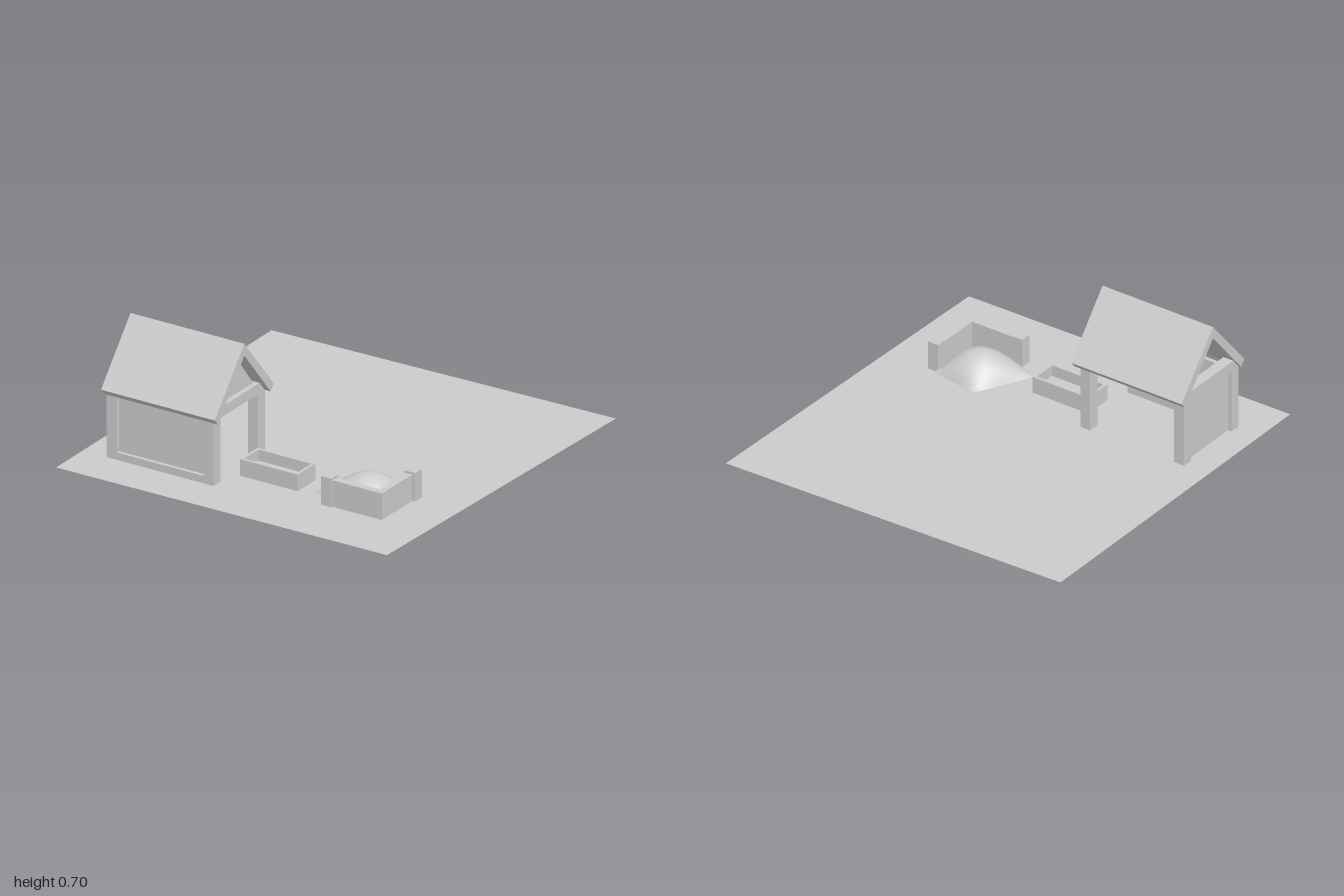
import * as THREE from 'three';

const grey = new THREE.MeshStandardMaterial({ color: 0xcccccc });
const greyDouble = new THREE.MeshStandardMaterial({ color: 0xcccccc, side: THREE.DoubleSide });
const BASE = 0.01;

function add(parent, name, geometry, material = grey) {
  const mesh = new THREE.Mesh(geometry, material);
  mesh.name = name;
  parent.add(mesh);
  return mesh;
}

// Box given by its extents along each axis
function box(parent, name, x0, x1, y0, y1, z0, z1) {
  const mesh = add(parent, name, new THREE.BoxGeometry(x1 - x0, y1 - y0, z1 - z0));
  mesh.position.set((x0 + x1) / 2, (y0 + y1) / 2, (z0 + z1) / 2);
  return mesh;
}

function group(parent, name) {
  const g = new THREE.Group();
  g.name = name;
  parent.add(g);
  return g;
}

// Upward sheet: corners are [x, z] at back left, back right, front left, front right
function sheet(corners, segments, shape) {
  const geometry = new THREE.PlaneGeometry(1, 1, segments, segments).rotateX(-Math.PI / 2);
  const [a, b, c, d] = corners;
  const p = geometry.attributes.position;
  for (let i = 0; i < p.count; i++) {
    const u = p.getX(i) + 0.5, v = p.getZ(i) + 0.5;
    const mix = (k) => (a[k] * (1 - u) + b[k] * u) * (1 - v) + (c[k] * (1 - u) + d[k] * u) * v;
    const [x, y, z] = shape(mix(0), mix(1), u, v);
    p.setXYZ(i, x, y, z);
  }
  geometry.computeVertexNormals();
  return geometry;
}

// Extrude a [z, y] outline along x, from x0 to x1
function extrudeAlongX(points, x0, x1) {
  const shape = new THREE.Shape(points.map(([z, y]) => new THREE.Vector2(-z, y)));
  return new THREE.ExtrudeGeometry(shape, { depth: x1 - x0, bevelEnabled: false })
    .rotateY(Math.PI / 2).translate(x0, 0, 0);
}

function buildShelter(parent) {
  const g = group(parent, 'shelter');

  // Four corner posts
  for (const x of [-0.85, -0.28])
    for (const z of [0.3, 0.7]) box(g, 'post', x, x + 0.06, BASE, 0.355, z, z + 0.06);

  // Front wall recessed over a bottom rail, and one end wall
  box(g, 'frontWall', -0.79, -0.28, BASE, 0.355, 0.72, 0.74);
  box(g, 'bottomRail', -0.79, -0.28, BASE, 0.05, 0.7, 0.76);
  box(g, 'endWall', -0.83, -0.81, 0, 0.355, 0.36, 0.7);

  // Tie beams, with ends cut to the roof slope
  for (const x of [-0.85, -0.28])
    add(g, 'tieBeam', extrudeAlongX(
      [[0.3, 0.355], [0.76, 0.355], [0.715, 0.41], [0.345, 0.41]], x, x + 0.06));

  // Gable panel under the roof at the open end
  const gable = new THREE.Shape([
    new THREE.Vector2(-0.71, 0.41), new THREE.Vector2(-0.36, 0.41), new THREE.Vector2(-0.53, 0.625)]);
  add(g, 'gablePanel', new THREE.ShapeGeometry(gable).rotateY(Math.PI / 2).translate(-0.25, 0, 0));

  // Two mirrored roof slabs meeting at the ridge
  for (const s of [-1, 1])
    add(g, s > 0 ? 'frontRoof' : 'backRoof', extrudeAlongX(
      [[0, 0.7], [0.265, 0.385], [0.237, 0.352], [0, 0.635]].map(([z, y]) => [0.53 + s * z, y]),
      -0.86, -0.19));
}

// Open box with thin walls and a low floor
function buildTrough(parent) {
  const g = group(parent, 'trough');
  const t = 0.015;
  for (const z of [0.425, 0.585 - t]) box(g, 'troughSide', -0.18, 0.16, BASE, 0.1, z, z + t);
  for (const x of [-0.18, 0.16 - t]) box(g, 'troughEnd', x, x + t, BASE, 0.1, 0.425 + t, 0.585 - t);
  box(g, 'troughFloor', -0.18 + t, 0.16 - t, BASE, 0.04, 0.425 + t, 0.585 - t);
}

// L-shaped corner wall with end posts, holding a heap
function buildHeapCorner(parent) {
  const g = group(parent, 'heapCorner');
  box(g, 'frontLowWall', 0.4, 0.695, BASE, 0.153, 0.605, 0.645);
  box(g, 'sideLowWall', 0.657, 0.695, BASE, 0.153, 0.37, 0.605);
  box(g, 'frontEndPost', 0.343, 0.405, BASE, 0.165, 0.593, 0.655);
  box(g, 'sideEndPost', 0.65, 0.712, BASE, 0.165, 0.31, 0.372);

  const corners = [[0.39, 0.25], [0.67, 0.29], [0.23, 0.555], [0.645, 0.58]];
  add(g, 'heap', sheet(corners, 16, (x, z, u, v) => {
    const dome = Math.max(0, Math.sin(Math.PI * u) * Math.sin(Math.PI * v));
    return [x, BASE + 0.003 + 0.125 * Math.pow(dome, 0.75), z + 0.03 * Math.sin(Math.PI * u) * v];
  }), greyDouble);
}

export function createModel() {
  const model = new THREE.Group();
  model.name = 'yard';

  // Slightly irregular flat ground
  const plot = [[-1, -0.95], [0.995, -1], [-0.99, 1], [0.945, 0.98]];
  add(model, 'ground', sheet(plot, 1, (x, z) => [x, BASE, z]), greyDouble);

  buildShelter(model);
  buildTrough(model);
  buildHeapCorner(model);
  return model;
}
